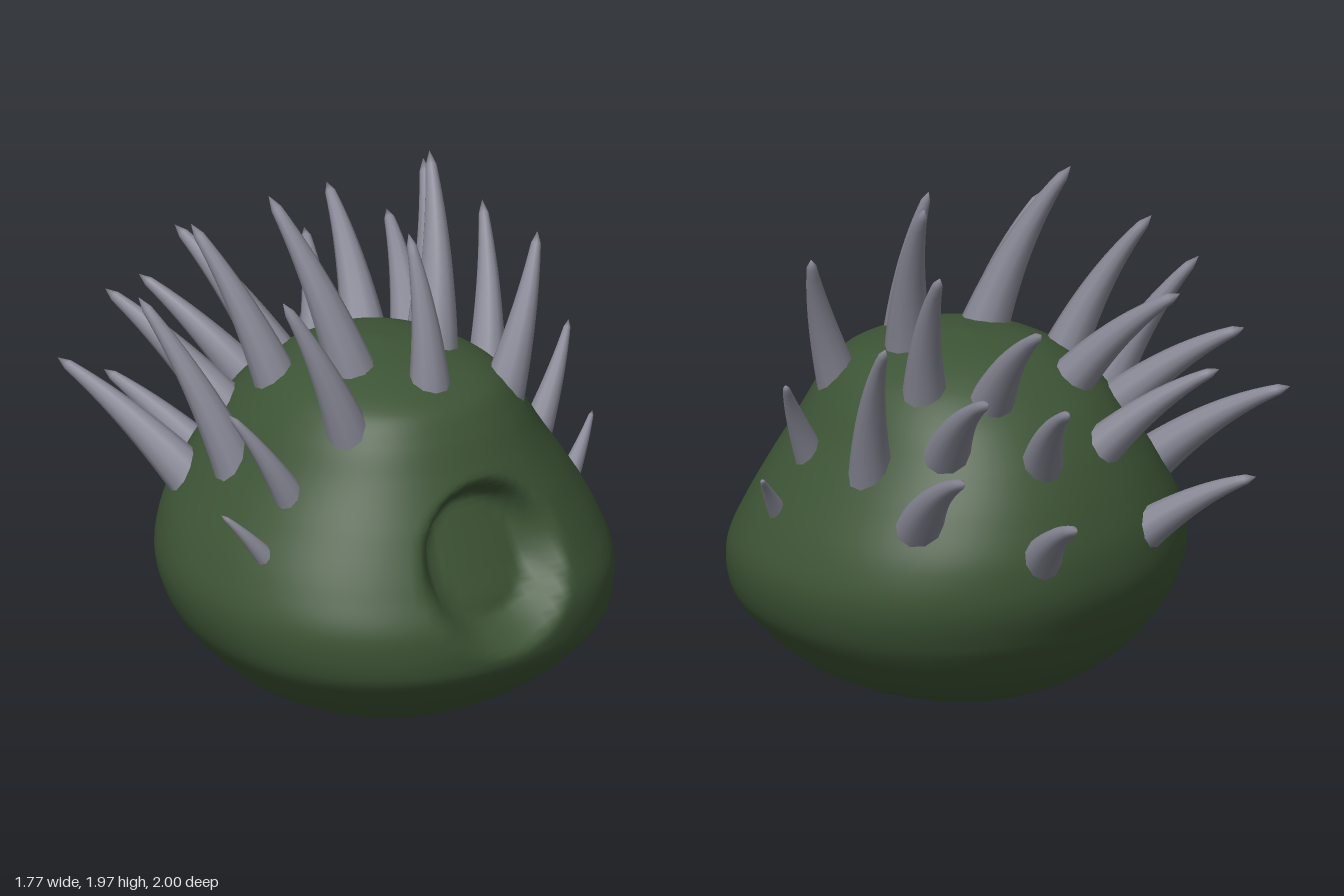
import * as THREE from 'three';
import { mergeVertices } from 'three/addons/utils/BufferGeometryUtils.js';

const skin = new THREE.MeshStandardMaterial({ color: 0x3d5435 });
const horn = new THREE.MeshStandardMaterial({ color: 0x878795 });

// Body cross-sections: [height, half width, front z, back z]
const sections = [
  [0.01, 0, 0.2, 0.2], [0.05, 0.25, 0.5, -0.12], [0.15, 0.53, 0.73, -0.34],
  [0.27, 0.67, 0.89, -0.48], [0.4, 0.77, 0.99, -0.57], [0.56, 0.81, 0.99, -0.63],
  [0.72, 0.77, 0.92, -0.63], [0.9, 0.67, 0.83, -0.57], [1.05, 0.57, 0.75, -0.49],
  [1.18, 0.49, 0.68, -0.39], [1.28, 0.4, 0.6, -0.27], [1.36, 0.23, 0.4, -0.12],
  [1.4, 0, 0.13, 0.13],
];

// Weld coincident corners so the shading is smooth across seams
function smooth(geometry) {
  geometry.deleteAttribute('uv');
  geometry.deleteAttribute('normal');
  const welded = mergeVertices(geometry, 1e-5);
  welded.computeVertexNormals();
  return welded;
}

// Smooth lofted body with a round mouth hollow pressed into the front
function bodyGeometry() {
  const rows = 84, cols = 112, power = 2 / 2.2;
  const shape = new THREE.CatmullRomCurve3(sections.map(s => new THREE.Vector3(s[0], s[1], 0)));
  const depth = new THREE.CatmullRomCurve3(sections.map(s => new THREE.Vector3(s[2], s[3], 0)));
  const bend = v => Math.sign(v) * Math.abs(v) ** power;
  const pos = [], index = [];
  for (let i = 0; i <= rows; i++) {
    const { x: y, y: w } = shape.getPoint(i / rows);
    const { x: front, y: back } = depth.getPoint(i / rows);
    for (let j = 0; j < cols; j++) {
      const a = (j / cols) * Math.PI * 2;
      const x = w * bend(Math.sin(a));
      let z = (front + back) / 2 + ((front - back) / 2) * bend(Math.cos(a));
      if (z > 0.3) {
        const r = Math.hypot(x, y - 0.74);
        z -= 0.16 * (1 - THREE.MathUtils.smoothstep(r, 0.19, 0.31));
      }
      pos.push(x, y, z);
      if (i < rows) {
        const p = i * cols + j, q = i * cols + (j + 1) % cols;
        index.push(p, q, q + cols, p, q + cols, p + cols);
      }
    }
  }
  const g = new THREE.BufferGeometry();
  g.setAttribute('position', new THREE.Float32BufferAttribute(pos, 3));
  g.setIndex(index);
  return smooth(g);
}

// Curved spike: a tube tapering from its root to a small blunt tip
function spikeGeometry(base, tip, radius) {
  const steps = 14, sides = 10;
  const a = new THREE.Vector3(...base), b = new THREE.Vector3(...tip);
  const dir = b.clone().sub(a).normalize();
  const length = a.distanceTo(b);
  const bow = new THREE.Vector3(0, 0.6, 0.8);
  bow.addScaledVector(dir, -bow.dot(dir)).normalize();
  const mid = a.clone().lerp(b, 0.5).addScaledVector(bow, length * 0.11);
  a.addScaledVector(dir, -0.06);
  const curve = new THREE.QuadraticBezierCurve3(a, mid, b);
  const g = new THREE.TubeGeometry(curve, steps, 1, sides);
  const pos = g.attributes.position, v = new THREE.Vector3();
  for (let i = 0; i <= steps; i++) {
    const t = i / steps, c = curve.getPointAt(t);
    const r = i === steps ? 0 : radius * (1 - 0.84 * t);
    for (let j = 0; j <= sides; j++) {
      const k = i * (sides + 1) + j;
      v.fromBufferAttribute(pos, k).sub(c).multiplyScalar(r).add(c);
      pos.setXYZ(k, v.x, v.y, v.z);
    }
  }
  return smooth(g);
}

// Left-side spikes, each mirrored to the right: [root, tip, root radius]
const pairedSpikes = [
  // crown and brow
  [[0.19, 1.35, 0.22], [0.36, 1.98, -0.04], 0.095],
  [[0.34, 1.25, -0.03], [0.52, 1.82, -0.3], 0.09],
  [[0.36, 1.23, 0.43], [0.57, 1.74, 0.34], 0.085],
  // sides
  [[0.57, 1.02, 0.01], [0.77, 1.6, -0.28], 0.085],
  [[0.58, 1.02, 0.35], [0.76, 1.32, 0.27], 0.06],
  [[0.7, 0.8, 0.38], [0.83, 0.96, 0.32], 0.042],
  // upper back
  [[0.2, 1.25, -0.24], [0.34, 1.65, -0.65], 0.09],
  [[0.42, 1.1, -0.24], [0.63, 1.46, -0.68], 0.09],
  // lower back
  [[0.15, 1.05, -0.45], [0.37, 1.4, -0.83], 0.085],
  [[0.58, 0.87, -0.27], [0.8, 1.21, -0.74], 0.09],
  [[0.25, 0.72, -0.55], [0.44, 1.0, -0.95], 0.085],
];

export function createModel() {
  const model = new THREE.Group();
  model.name = 'spikyCreature';

  // The creature is symmetric and turned slightly to its right
  const creature = new THREE.Group();
  creature.name = 'creature';
  creature.position.x = -0.025;
  creature.rotation.y = -0.145;
  model.add(creature);

  const body = new THREE.Mesh(bodyGeometry(), skin);
  body.name = 'body';
  creature.add(body);

  const addSpike = (name, base, tip, radius) => {
    const spike = new THREE.Mesh(spikeGeometry(base, tip, radius), horn);
    spike.name = name;
    creature.add(spike);
  };
  const mirror = ([x, y, z]) => [-x, y, z];

  addSpike('centreSpike', [0, 1.34, 0.45], [0, 1.87, 0.33], 0.08);
  for (const [base, tip, radius] of pairedSpikes) {
    addSpike('leftSpike', base, tip, radius);
    addSpike('rightSpike', mirror(base), mirror(tip), radius);
  }
  return model;
}
